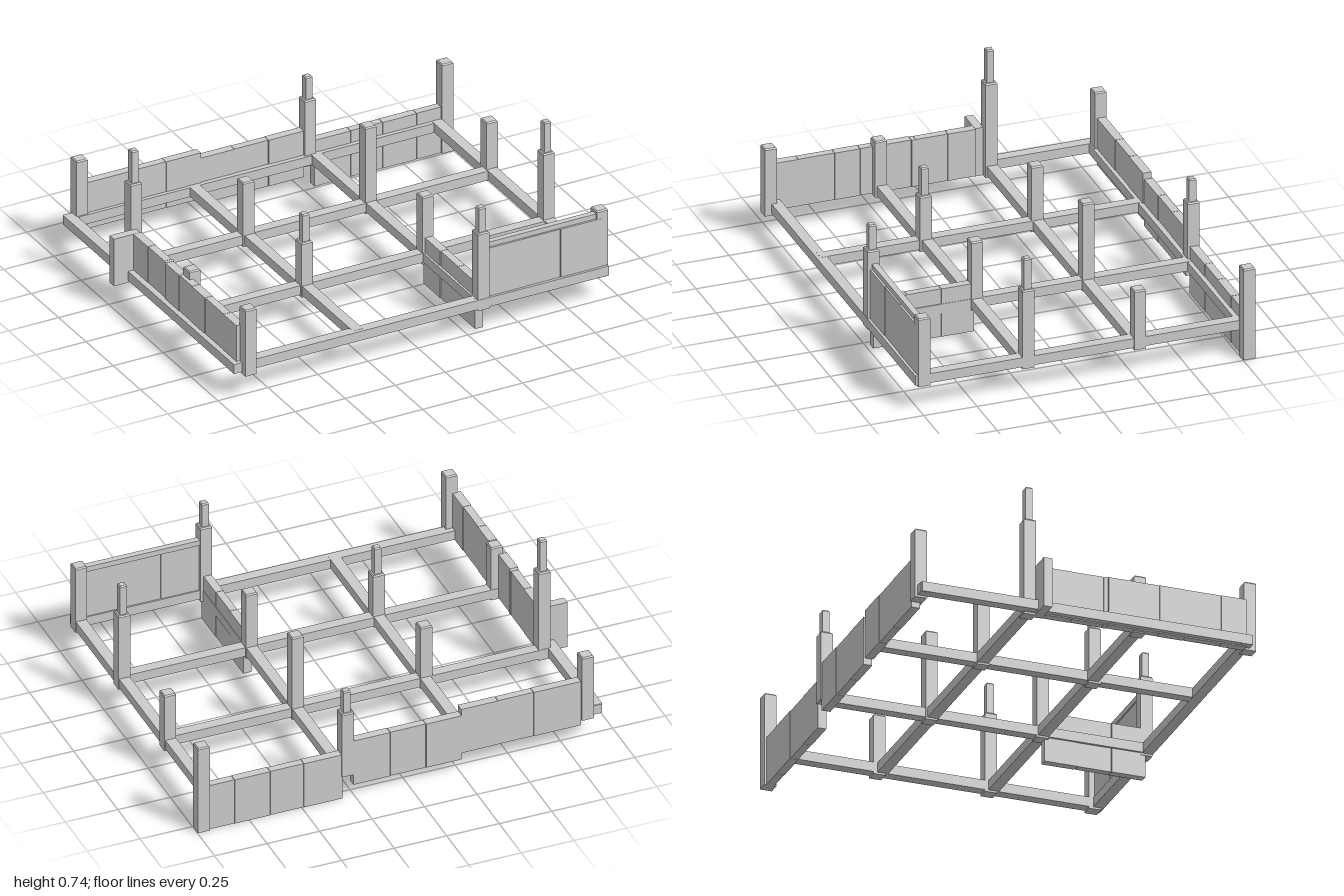
import * as THREE from 'three';

const material = new THREE.MeshStandardMaterial({ color: 0xcccccc, flatShading: true });

// Box given by its min and max on each axis
function box(parent, name, [x0, x1], [y0, y1], [z0, z1]) {
  const mesh = new THREE.Mesh(new THREE.BoxGeometry(x1 - x0, y1 - y0, z1 - z0), material);
  mesh.position.set((x0 + x1) / 2, (y0 + y1) / 2, (z0 + z1) / 2);
  mesh.name = name;
  parent.add(mesh);
}

// Square shaft with a slightly chamfered top
function shaft(parent, name, x, z, width, y0, y1) {
  const r = width / Math.SQRT2, bevel = 0.006;
  box(parent, name, [x - width / 2, x + width / 2], [y0, y1 - bevel], [z - width / 2, z + width / 2]);
  const cap = new THREE.Mesh(new THREE.CylinderGeometry(r - bevel, r, bevel, 4).rotateY(Math.PI / 4), material);
  cap.position.set(x, y1 - bevel / 2, z);
  cap.name = name + 'Cap';
  parent.add(cap);
}

// Row of boards between successive cuts, every other one set back a little to show the seams
function boards(parent, name, axis, cuts, y, [d0, d1]) {
  const group = new THREE.Group();
  group.name = name;
  for (let i = 0; i < cuts.length - 1; i++) {
    const inset = (i % 2) * 0.002;
    const along = [cuts[i] + 0.001, cuts[i + 1] - 0.001], depth = [d0 + inset, d1 - inset];
    box(group, 'board', axis === 'x' ? along : depth, y, axis === 'x' ? depth : along);
  }
  parent.add(group);
}

export function createModel() {
  const model = new THREE.Group();
  model.name = 'unfinishedFrame';

  // Floor grid of beams
  const beams = new THREE.Group();
  beams.name = 'floorBeams';
  model.add(beams);
  const h = 0.025, level = [0.125, 0.171], crossLevel = [0.124, 0.17];
  for (const [z, x0, x1] of [[-0.765, -0.93, 0.945], [-0.27, -0.9, 0.94], [0.25, -0.9, 0.94], [0.743, -0.93, 0.945]])
    box(beams, 'crossBeam', [x0, x1], crossLevel, [z - h, z + h]);
  for (const [x, z0, z1] of [[-0.3, -0.77, 0.75], [0.31, -0.77, 0.75], [0.92, -0.785, 0.767]])
    box(beams, 'lengthBeam', [x - h, x + h], level, [z0, z1]);
  box(beams, 'lengthBeam', [-0.935, -0.885], level, [-0.785, -0.2]);
  box(beams, 'lengthBeam', [-0.93, -0.88], level, [-0.2, 0.77]);

  // Posts: x, z, bottom, top of wide part, top of thin part (0 for none)
  const posts = [
    [-0.86, -0.775, 0.115, 0.445, 0], [0.283, -0.778, 0.115, 0.445, 0.555], [0.97, -0.78, 0, 0.445, 0],
    [-0.868, -0.265, 0.115, 0.575, 0.735], [-0.305, -0.268, 0.115, 0.435, 0],
    [0.31, -0.275, 0.115, 0.545, 0], [0.922, -0.285, 0.115, 0.405, 0],
    [-0.86, 0.255, 0.115, 0.39, 0], [-0.3, 0.258, 0.115, 0.385, 0.52],
    [0.31, 0.248, 0.115, 0.45, 0], [0.92, 0.238, 0.115, 0.5, 0.65],
    [-0.862, 0.772, 0.115, 0.445, 0], [0.32, 0.738, 0.115, 0.5, 0.62], [0.92, 0.727, 0.115, 0.45, 0],
  ];
  for (const [x, z, y0, wide, thin] of posts) {
    const post = new THREE.Group();
    post.name = 'post';
    shaft(post, 'postShaft', x, z, 0.056, y0, wide);
    if (thin) shaft(post, 'postTop', x, z, 0.034, wide - 0.01, thin);
    model.add(post);
  }

  // Back wall panels, stepping down along the row
  boards(model, 'backWallLeft', 'x', [0.307, 0.49, 0.65, 0.82, 0.998], [0, 0.23], [-0.8, -0.76]);
  boards(model, 'backWallMiddle', 'x', [-0.26, -0.09, 0.08, 0.257], [0.06, 0.29], [-0.802, -0.762]);
  boards(model, 'backWallRight', 'x', [-0.83, -0.605, -0.435, -0.26], [0.09, 0.32], [-0.797, -0.757]);

  // Side wall panels and the short return at their end
  boards(model, 'sideWallFront', 'z', [0.1, 0.225, 0.34, 0.46, 0.63, 0.75], [0.12, 0.35], [-0.907, -0.867]);
  boards(model, 'sideWallBack', 'z', [-0.2, -0.07, 0.08, 0.1], [0.12, 0.35], [-0.903, -0.863]);
  box(model, 'sideWallReturn', [-1, -0.87], [0.115, 0.35], [-0.24, -0.2]);

  // Low inner panel hanging beneath the grid
  boards(model, 'innerWall', 'z', [0.26, 0.415, 0.575, 0.735], [0.01, 0.245], [0.295, 0.333]);

  // Front wall with top rail
  boards(model, 'frontWall', 'x', [0.33, 0.53, 0.71, 0.915], [0.165, 0.41], [0.724, 0.756]);
  box(model, 'frontRail', [0.33, 0.91], [0.408, 0.434], [0.718, 0.746]);

  return model;
}
